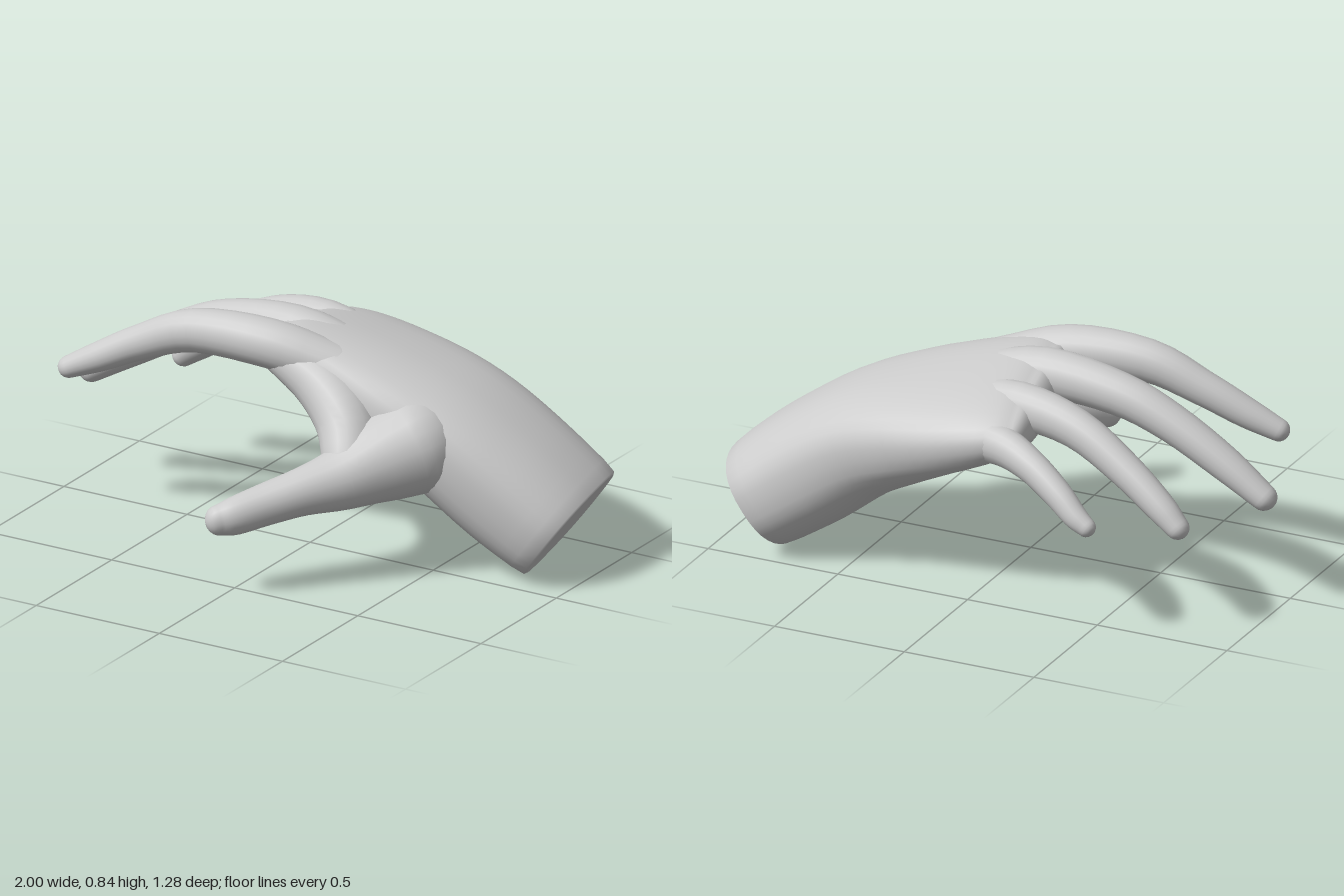
import * as THREE from 'three';

const skin = new THREE.MeshStandardMaterial({ color: 0xcccccc });

// Skins a tube over rows of [x, y, z, halfWidth, halfDepth, roll].
// `side` is the direction halfWidth follows; `power` > 2 squares the section off.
function loft(name, rows, { side = [0, 0, 1], power = 2, sides = 20, steps = 4, flatStart = false, dome = 1 } = {}) {
  const path = new THREE.CatmullRomCurve3(rows.map(r => new THREE.Vector3(r[0], r[1], r[2])), false, 'catmullrom');
  const size = new THREE.CatmullRomCurve3(rows.map(r => new THREE.Vector3(r[3], r[4], r[5] ?? 0)), false, 'catmullrom');
  const ref = new THREE.Vector3(...side);
  const pos = [], index = [];
  const bend = s => Math.sign(s) * Math.abs(s) ** (2 / power);
  let rings = 0;

  const ring = (t, scale = 1, shift = 0) => {
    const c = path.getPoint(t), s = size.getPoint(t), dir = path.getTangent(t);
    const u0 = ref.clone().addScaledVector(dir, -ref.dot(dir)).normalize();
    const v0 = dir.clone().cross(u0);
    const u = u0.clone().multiplyScalar(Math.cos(s.z)).addScaledVector(v0, Math.sin(s.z));
    const v = dir.clone().cross(u);
    c.addScaledVector(dir, shift * Math.min(s.x, s.y));
    for (let j = 0; j < sides; j++) {
      const a = (j / sides) * Math.PI * 2;
      const p = c.clone()
        .addScaledVector(u, bend(Math.cos(a)) * s.x * scale)
        .addScaledVector(v, bend(Math.sin(a)) * s.y * scale);
      pos.push(p.x, p.y, p.z);
    }
    rings++;
  };

  // start cap: flat with a softened rim, or a dome
  if (flatStart) {
    for (const k of [0.001, 0.93, 0.93, 0.98]) ring(0, k, k > 0.95 ? 0.03 : 0);
  } else {
    for (let k = 0; k < 5; k++) {
      const a = (k / 5) * Math.PI / 2;
      ring(0, Math.max(Math.sin(a), 0.001), -Math.cos(a));
    }
  }
  const n = (rows.length - 1) * steps;
  for (let i = flatStart ? 1 : 0; i <= n; i++) ring(i / n);
  for (let k = 1; k <= 5; k++) {
    const a = (k / 5) * Math.PI / 2;
    ring(1, Math.max(Math.cos(a), 0.001), Math.sin(a) * dome);
  }

  for (let i = 0; i < rings - 1; i++) {
    if (flatStart && i === 1) continue; // doubled ring keeps the rim crisp
    for (let j = 0; j < sides; j++) {
      const a = i * sides + j, b = i * sides + (j + 1) % sides;
      index.push(a, b, a + sides, b, b + sides, a + sides);
    }
  }
  const geo = new THREE.BufferGeometry();
  geo.setAttribute('position', new THREE.Float32BufferAttribute(pos, 3));
  geo.setIndex(index);
  geo.computeVertexNormals();
  const mesh = new THREE.Mesh(geo, skin);
  mesh.name = name;
  return mesh;
}

export function createModel() {
  const hand = new THREE.Group();
  hand.name = 'hand';

  // Wrist and palm, rolled so the index side rides higher
  hand.add(loft('palm', [
    [0.885, 0.165, -0.28, 0.275, 0.2, 0],
    [0.7, 0.3, -0.245, 0.29, 0.215, 0.02],
    [0.5, 0.44, -0.22, 0.31, 0.205, 0.06],
    [0.3, 0.535, -0.215, 0.335, 0.185, 0.12],
    [0.1, 0.615, -0.22, 0.345, 0.15, 0.19],
    [-0.06, 0.67, -0.215, 0.335, 0.115, 0.23],
    [-0.14, 0.69, -0.21, 0.3, 0.08, 0.24],
  ], { power: 2.4, sides: 36, flatStart: true, dome: 0.6 }));

  // Fingers, each from inside the palm to the tip
  const fingers = {
    indexFinger: [
      [0.12, 0.69, 0.01, 0.085, 0.08], [-0.12, 0.75, 0.075, 0.088, 0.088],
      [-0.4, 0.75, 0.105, 0.073, 0.078], [-0.6, 0.675, 0.13, 0.06, 0.064],
      [-0.75, 0.6, 0.16, 0.054, 0.054], [-0.865, 0.545, 0.185, 0.042, 0.04],
    ],
    middleFinger: [
      [0.12, 0.68, -0.12, 0.09, 0.09], [-0.12, 0.735, -0.11, 0.088, 0.09],
      [-0.4, 0.71, -0.115, 0.076, 0.078], [-0.6, 0.635, -0.11, 0.07, 0.068],
      [-0.8, 0.52, -0.105, 0.063, 0.06], [-0.95, 0.42, -0.105, 0.05, 0.046],
    ],
    ringFinger: [
      [0.12, 0.64, -0.27, 0.085, 0.09], [-0.12, 0.69, -0.315, 0.078, 0.085],
      [-0.35, 0.66, -0.35, 0.067, 0.072], [-0.55, 0.56, -0.385, 0.06, 0.062],
      [-0.7, 0.46, -0.415, 0.053, 0.054], [-0.775, 0.4, -0.43, 0.043, 0.042],
    ],
    littleFinger: [
      [0.12, 0.58, -0.42, 0.085, 0.09], [-0.1, 0.61, -0.48, 0.068, 0.075],
      [-0.25, 0.58, -0.53, 0.056, 0.06], [-0.38, 0.51, -0.572, 0.049, 0.052],
      [-0.46, 0.45, -0.597, 0.042, 0.044], [-0.51, 0.42, -0.607, 0.033, 0.035],
    ],
  };
  for (const [name, rows] of Object.entries(fingers)) hand.add(loft(name, rows));

  // Thumb with its thick base
  hand.add(loft('thumb', [
    [0.42, 0.46, 0.0, 0.18, 0.19], [0.34, 0.42, 0.12, 0.15, 0.155],
    [0.27, 0.38, 0.24, 0.112, 0.11], [0.185, 0.355, 0.36, 0.085, 0.083],
    [0.1, 0.325, 0.46, 0.075, 0.072], [0.03, 0.298, 0.55, 0.068, 0.061],
    [-0.01, 0.288, 0.592, 0.055, 0.047],
  ], { side: [0, 1, 0] }));

  // Fleshy web from the index knuckle to the thumb
  hand.add(loft('thumbWeb', [
    [-0.1, 0.725, 0.06, 0.07, 0.07], [0.08, 0.64, 0.06, 0.1, 0.1],
    [0.21, 0.54, 0.1, 0.115, 0.11], [0.28, 0.43, 0.18, 0.11, 0.1],
  ]));

  return hand;
}
